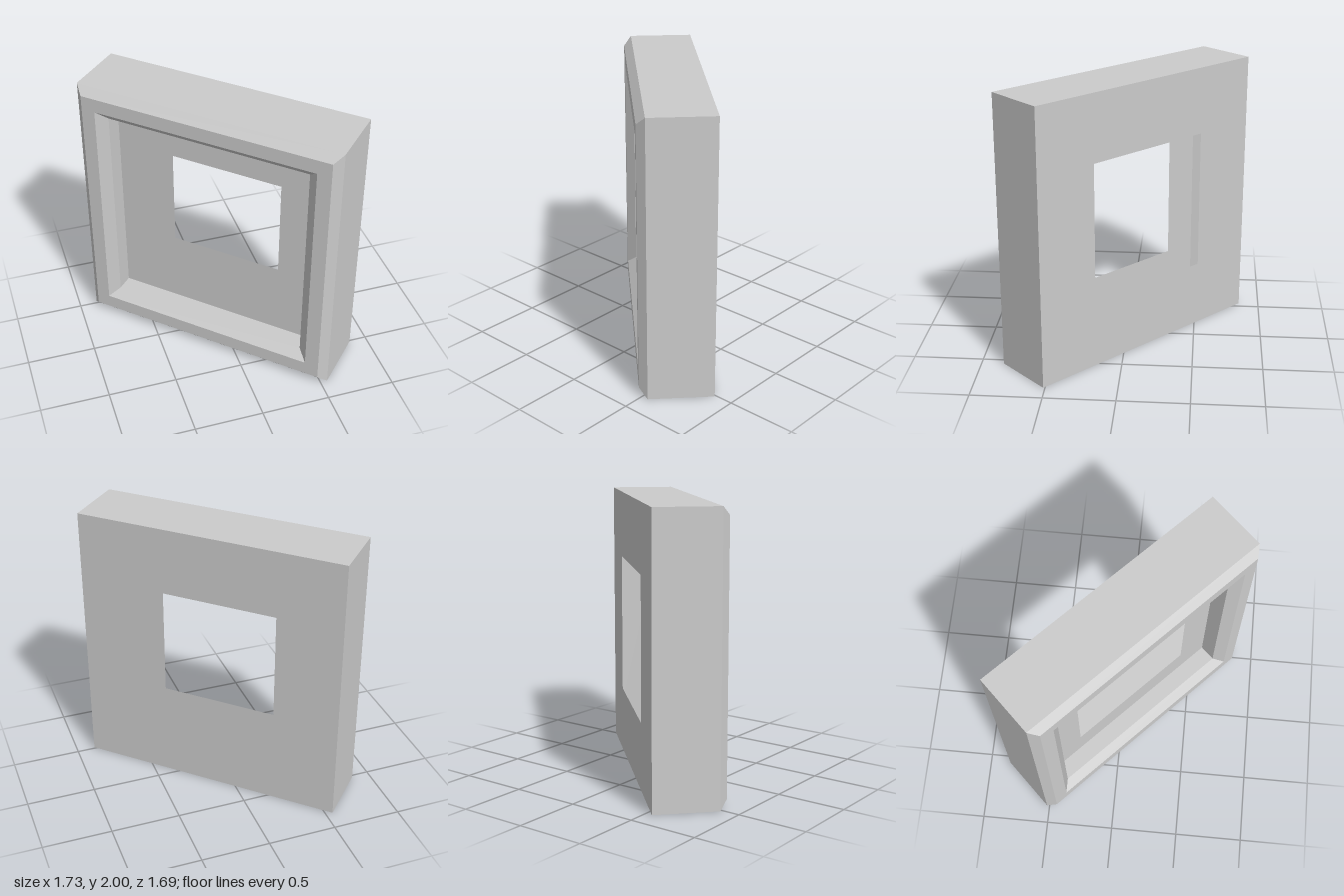
import * as THREE from 'three';

const material = new THREE.MeshStandardMaterial({
  color: 0xcccccc, flatShading: true, side: THREE.DoubleSide,
});

// Skin between successive rectangular rings [half width, half height, depth]
function rectLoft(name, rings) {
  const corners = rings.map(([w, h, z]) => [[-w, -h, z], [w, -h, z], [w, h, z], [-w, h, z]]);
  const positions = [];
  for (let r = 0; r < rings.length - 1; r++) {
    const [a, b] = [corners[r], corners[r + 1]];
    for (let i = 0; i < 4; i++) {
      const j = (i + 1) % 4;
      positions.push(...a[i], ...a[j], ...b[j], ...a[i], ...b[j], ...b[i]);
    }
  }
  const geometry = new THREE.BufferGeometry();
  geometry.setAttribute('position', new THREE.Float32BufferAttribute(positions, 3));
  geometry.computeVertexNormals();
  const mesh = new THREE.Mesh(geometry, material);
  mesh.name = name;
  return mesh;
}

export function createModel() {
  const model = new THREE.Group();
  model.name = 'windowFrame';

  // Frame stands turned about the vertical axis
  const frame = new THREE.Group();
  frame.name = 'turnedFrame';
  frame.position.set(-0.158, 1, 0.161);
  frame.rotation.y = -Math.atan2(0.692, 0.722);
  model.add(frame);

  // Shared rings, from the back opening round to the front opening
  const backHole = [0.505, 0.513, -0.456];
  const backEdge = [0.983, 1, -0.456];
  const frontEdge = [0.983, 1, 0];
  const bevelEdge = [0.925, 0.94, 0.055];
  const trimInner = [0.823, 0.838, 0.055];
  const recessTop = [0.752, 0.772, -0.008];
  const recessFloor = [0.752, 0.772, -0.133];
  const floorHole = [0.505, 0.513, -0.133];

  // The shell is hollow: the two openings are not joined by walls
  frame.add(
    rectLoft('backPanel', [backHole, backEdge]),
    rectLoft('outerSides', [backEdge, frontEdge]),
    rectLoft('bevelledTrim', [frontEdge, bevelEdge, trimInner, recessTop]),
    rectLoft('recessWalls', [recessTop, recessFloor]),
    rectLoft('recessPanel', [recessFloor, floorHole]),
  );
  return model;
}
